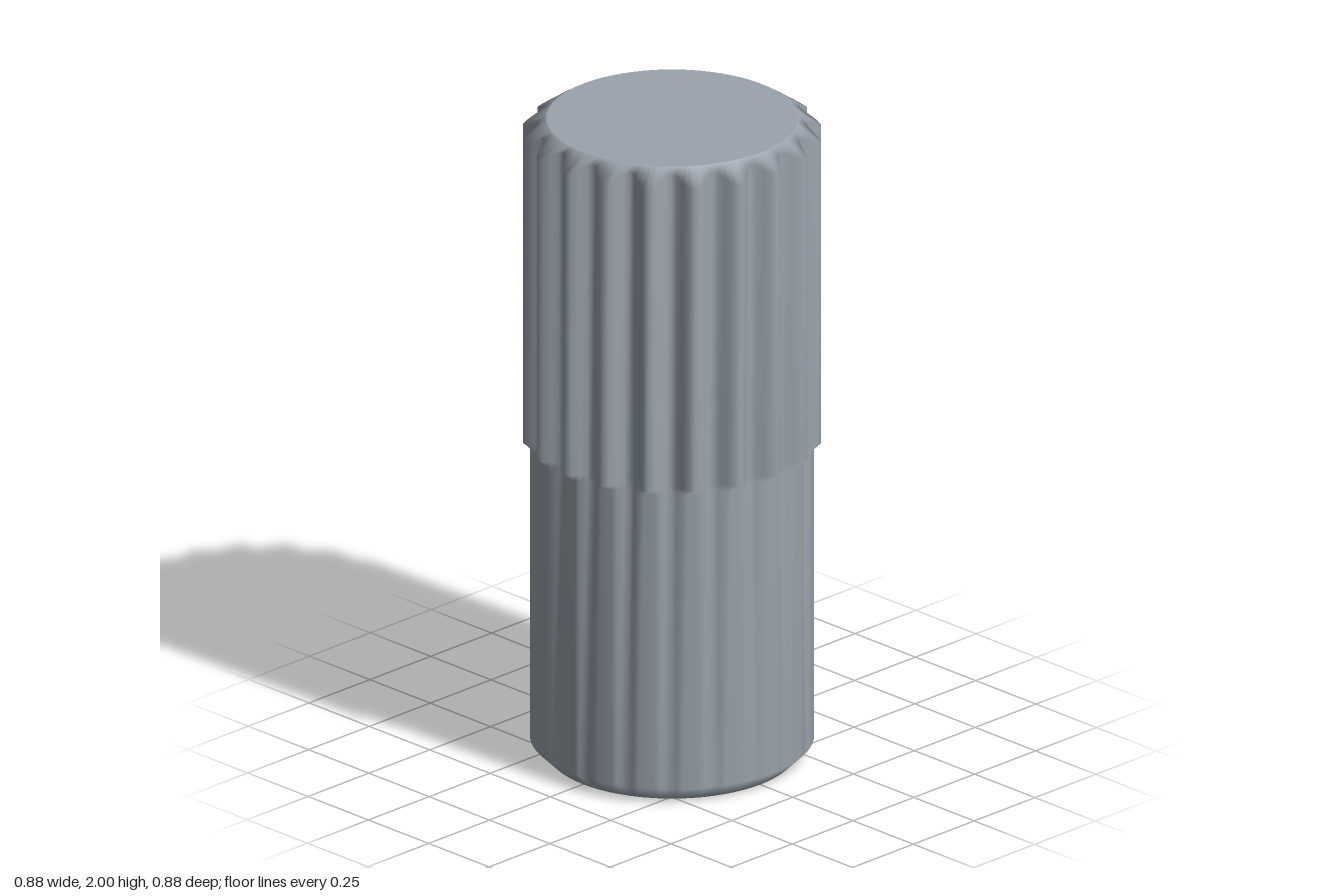
import * as THREE from 'three';

const RIDGES = 20;
const SEGMENTS = RIDGES * 8;
const SHANK_RADIUS = 0.415;

// radius of the scalloped upper section
const wave = (a) => 0.415 + 0.025 * Math.cos(RIDGES * a);
const shank = (a) => Math.min(SHANK_RADIUS, wave(a));

// cross-sections from bottom to top: [height, radius], both functions of the angle
const SECTIONS = [
  [() => 0, () => 0.365],
  [() => 0.05, () => SHANK_RADIUS],
  [() => 0.98, shank],
  [() => 1.0, wave],
  [(a) => 2 - (wave(a) - 0.367) * 0.65, wave],
  [() => 2, () => 0.367],
];

// joins the closed rings with smooth normals
function loft(sections) {
  const positions = [];
  const indices = [];
  sections.forEach(([height, radius], j) => {
    for (let i = 0; i < SEGMENTS; i++) {
      const a = (i / SEGMENTS) * Math.PI * 2;
      positions.push(radius(a) * Math.sin(a), height(a), radius(a) * Math.cos(a));
      if (j === 0) continue;
      const next = (i + 1) % SEGMENTS;
      const low = (j - 1) * SEGMENTS;
      const high = j * SEGMENTS;
      indices.push(low + i, low + next, high + next, low + i, high + next, high + i);
    }
  });
  const geometry = new THREE.BufferGeometry();
  geometry.setAttribute('position', new THREE.Float32BufferAttribute(positions, 3));
  geometry.setIndex(indices);
  geometry.computeVertexNormals();
  return geometry;
}

export function createModel() {
  const group = new THREE.Group();
  group.name = 'groovedPin';
  const steel = new THREE.MeshStandardMaterial({ color: 0x9aa3ad });
  steel.name = 'steel grey';

  // plain shank, fluted head and both chamfers
  const body = new THREE.Mesh(loft(SECTIONS), steel);
  body.name = 'flutedBody';
  group.add(body);

  // flat end faces
  const addCap = (name, radius, y, tilt) => {
    const cap = new THREE.Mesh(new THREE.CircleGeometry(radius, SEGMENTS), steel);
    cap.name = name;
    cap.rotation.x = tilt;
    cap.position.y = y;
    group.add(cap);
  };
  addCap('topFace', 0.367, 2, -Math.PI / 2);
  addCap('bottomFace', 0.365, 0, Math.PI / 2);

  return group;
}
